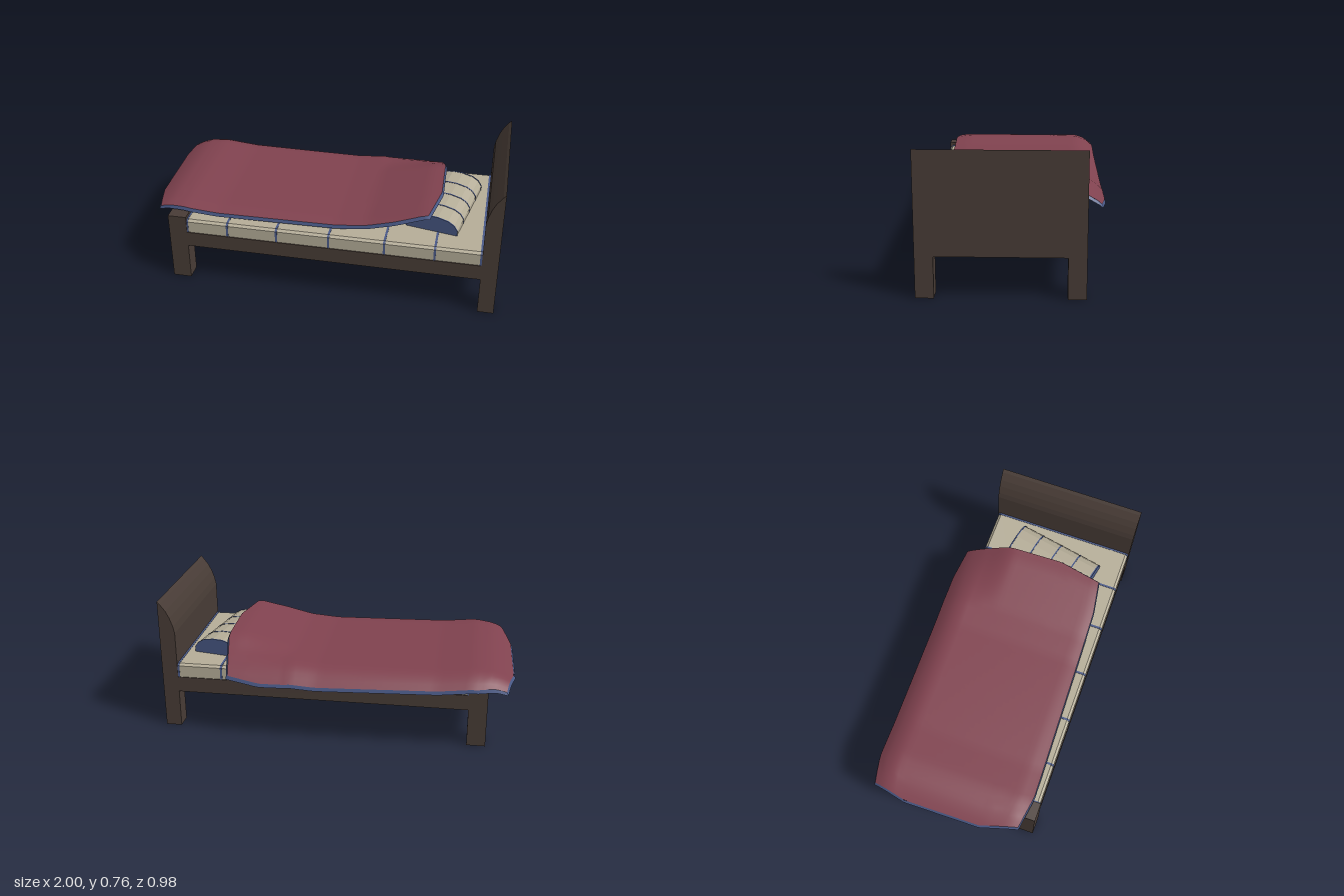
import * as THREE from 'three';

const mat = (color, side = THREE.FrontSide) => new THREE.MeshStandardMaterial({ color, side });
const wood = mat(0x483c36), cream = mat(0xb5ad98), blue = mat(0x4a5a88);
const blueEdge = mat(0x4a5a88, THREE.DoubleSide), red = mat(0x80424f), redUnder = mat(0x6a333f);

const BACK = -0.37, FRONT = 0.49, MID = (BACK + FRONT) / 2, DEPTH = FRONT - BACK;

const smooth = (a, b, x) => THREE.MathUtils.smoothstep(x, a, b);
const lerp = THREE.MathUtils.lerp;

// piecewise linear interpolation through [position, value] pairs
function along(points, x) {
  if (x <= points[0][0]) return points[0][1];
  for (let i = 1; i < points.length; i++) {
    const [x0, y0] = points[i - 1], [x1, y1] = points[i];
    if (x <= x1) return lerp(y0, y1, (x - x0) / (x1 - x0));
  }
  return points[points.length - 1][1];
}

function addMesh(parent, name, geometry, material) {
  const mesh = new THREE.Mesh(geometry, material);
  mesh.name = name;
  parent.add(mesh);
  return mesh;
}

function box(parent, name, x0, x1, y0, y1, z0, z1, material) {
  const mesh = addMesh(parent, name, new THREE.BoxGeometry(x1 - x0, y1 - y0, z1 - z0), material);
  mesh.position.set((x0 + x1) / 2, (y0 + y1) / 2, (z0 + z1) / 2);
  return mesh;
}

function extrude(points, depth) {
  const shape = new THREE.Shape(points.map(p => new THREE.Vector2(...p)));
  return new THREE.ExtrudeGeometry(shape, { depth, bevelEnabled: false });
}

// grid surface from a function (u, v) -> [x, y, z]
function surface(fn, nu, nv, flip = false) {
  const pos = [], idx = [];
  for (let i = 0; i <= nu; i++)
    for (let j = 0; j <= nv; j++) pos.push(...fn(i / nu, j / nv));
  for (let i = 0; i < nu; i++)
    for (let j = 0; j < nv; j++) {
      const a = i * (nv + 1) + j, b = a + 1, c = a + nv + 1, d = c + 1;
      idx.push(...(flip ? [a, c, b, b, c, d] : [a, b, c, b, d, c]));
    }
  const g = new THREE.BufferGeometry();
  g.setAttribute('position', new THREE.Float32BufferAttribute(pos, 3));
  g.setIndex(idx);
  g.computeVertexNormals();
  return g;
}

function makeFrame() {
  const frame = new THREE.Group();
  frame.name = 'bedFrame';
  box(frame, 'base', -0.84, 0.92, 0.22, 0.31, BACK, FRONT, wood);
  box(frame, 'footboard', -0.85, -0.75, 0.22, 0.41, BACK + 0.05, FRONT - 0.05, wood);
  for (const [z0, z1] of [[BACK, BACK + 0.095], [FRONT - 0.095, FRONT]]) {
    box(frame, 'footLeg', -0.855, -0.75, 0, 0.41, z0, z1, wood);
    box(frame, 'headLeg', 0.91, 1, 0, 0.22, z0, z1, wood);
  }
  // headboard curves back towards its top edge
  const profile = [[0.91, 0.22], [1, 0.22], [1, 0.765], [0.985, 0.75], [0.955, 0.71],
    [0.935, 0.67], [0.918, 0.62], [0.91, 0.58]];
  addMesh(frame, 'headboard', extrude(profile, DEPTH), wood).position.z = BACK;
  return frame;
}

function makeMattress() {
  const mattress = new THREE.Group();
  mattress.name = 'mattress';
  // cross-section with bevelled top edges, swept along the bed
  const slab = (name, x0, x1, grow, material) => {
    const w = DEPTH / 2 - 0.005 + grow, h = 0.39 + grow;
    const g = extrude([[-w, 0.3], [w, 0.3], [w, h - 0.012], [w - 0.015, h], [-w + 0.015, h], [-w, h - 0.012]], x1 - x0);
    const mesh = addMesh(mattress, name, g, material);
    mesh.rotation.y = Math.PI / 2;
    mesh.position.set(x0, 0, MID);
  };
  slab('mattressBody', -0.76, 0.912, 0, cream);
  for (const x of [-0.747, -0.513, -0.23, 0.067, 0.378, 0.655, 0.905])
    slab('mattressStripe', x - 0.006, x + 0.006, 0.002, blue);
  return mattress;
}

function makePillow() {
  const pillow = new THREE.Group();
  pillow.name = 'pillow';
  const section = [[-0.145, 0], [0.145, 0], [0.145, 0.03], [0.125, 0.06], [0.09, 0.08], [0.03, 0.092],
    [-0.03, 0.092], [-0.08, 0.078], [-0.12, 0.045], [-0.145, 0.01]];
  const L = 0.53;
  addMesh(pillow, 'pillowBody', extrude(section, L), [blue, cream]).position.z = -L / 2;
  // narrow bands wrapped around the pillow
  const band = section.map(([x, y]) => [x * 1.012, y * 1.02]);
  for (let i = 0; i < 5; i++)
    addMesh(pillow, 'pillowStripe', extrude(band, 0.008), blue).position.z = -L / 2 + i * (L - 0.008) / 4;
  pillow.position.set(0.667, 0.389, 0.06);
  pillow.rotation.y = -0.19;
  return pillow;
}

function makeBlanket() {
  const blanket = new THREE.Group();
  blanket.name = 'blanket';
  // outline of the four sides
  const footX = [[0, -0.96], [0.23, -1], [0.75, -0.99], [1, -0.93]];
  const headX = [[0, 0.6], [0.3, 0.65], [0.7, 0.66], [1, 0.61]];
  const backZ = [[0, -0.44], [0.1, -0.47], [0.88, -0.49], [1, -0.465]];
  const frontZ = [[0, 0.42], [0.12, 0.45], [0.88, 0.415], [1, 0.385]];
  // lengthwise height, rising over the pillow and falling at the foot
  const height = [[-1, 0.39], [-0.95, 0.42], [-0.88, 0.447], [-0.78, 0.457], [-0.58, 0.438], [0.1, 0.43],
    [0.27, 0.445], [0.48, 0.497], [0.58, 0.522], [0.66, 0.526]];
  // fall over the back side of the mattress
  const drop = [[-0.49, 0.085], [-0.45, 0.045], [-0.4, 0.014], [-0.35, 0]];

  const sheet = (u, v, lower) => {
    const x = lerp(along(footX, v), along(headX, v), u);
    const z = lerp(along(backZ, u), along(frontZ, u), v);
    let y = along(height, x);
    if (x > 0.1) y = lerp(0.44, y, x < 0.27 ? 1 : smooth(-0.42, -0.15, z));
    y -= along(drop, z) + 0.008 * smooth(0.36, 0.45, z);
    const s = lower ? 1 : 0.988;
    return [-0.17 + (x + 0.17) * s, y - (lower ? 0.02 : 0), -0.02 + (z + 0.02) * s];
  };
  addMesh(blanket, 'blanketTop', surface((u, v) => sheet(u, v, false), 48, 32), red);
  addMesh(blanket, 'blanketUnderside', surface((u, v) => sheet(u, v, true), 48, 32, true), redUnder);
  // hem joins the two layers all round
  const perimeter = t => {
    const k = Math.min(3, Math.floor(t * 4)), f = t * 4 - k;
    return [[f, 0], [1, f], [1 - f, 1], [0, 1 - f]][k];
  };
  addMesh(blanket, 'blanketHem', surface((t, w) => sheet(...perimeter(t), w > 0.5), 192, 1), blueEdge);
  return blanket;
}

export function createModel() {
  const bed = new THREE.Group();
  bed.name = 'bed';
  bed.add(makeFrame(), makeMattress(), makePillow(), makeBlanket());
  return bed;
}
